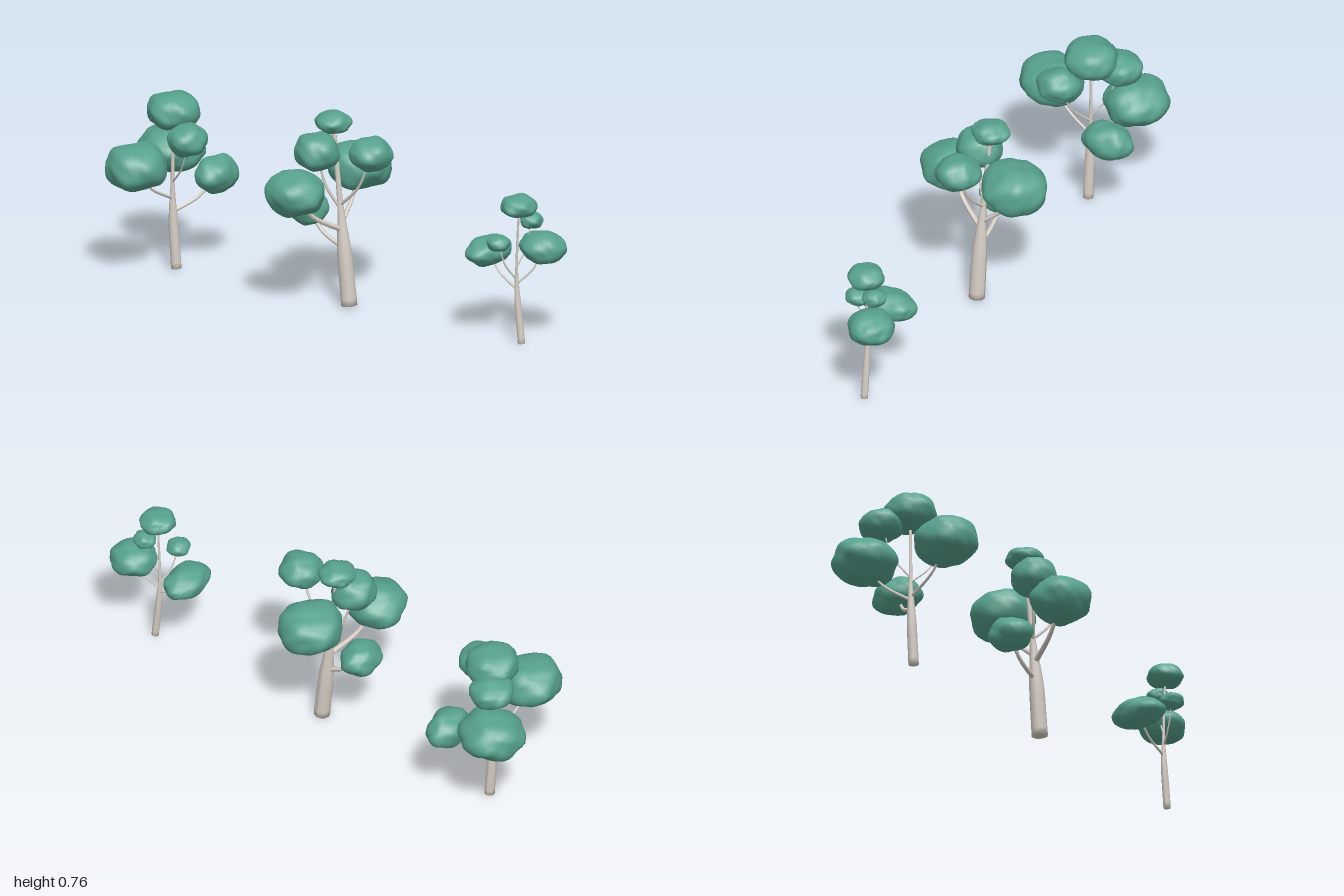
import * as THREE from 'three';
import { mergeVertices } from 'three/addons/utils/BufferGeometryUtils.js';

const leafMat = new THREE.MeshStandardMaterial({ color: 0x57a18d });
leafMat.name = 'leafGreen';
const barkMat = new THREE.MeshStandardMaterial({ color: 0xd3ccc3 });
barkMat.name = 'paleBark';

const vec = (p) => new THREE.Vector3(...p);

// Tapered limb along a curve; the first ring is collapsed to close the base
function limb(name, curve, radiusAt, rings, sides) {
  const geo = new THREE.TubeGeometry(curve, rings, 1, sides);
  const pos = geo.attributes.position;
  const v = new THREE.Vector3();
  for (let i = 0; i <= rings; i++) {
    const centre = curve.getPointAt(i / rings);
    const t = Math.max(0, (i - 1) / (rings - 1));
    const target = curve.getPointAt(t);
    const r = i === 0 ? 0 : radiusAt(t);
    for (let j = 0; j <= sides; j++) {
      const k = i * (sides + 1) + j;
      v.fromBufferAttribute(pos, k).sub(centre).multiplyScalar(r).add(target);
      pos.setXYZ(k, v.x, v.y, v.z);
    }
  }
  geo.computeVertexNormals();
  const mesh = new THREE.Mesh(geo, barkMat);
  mesh.name = name;
  return mesh;
}

// Lumpy, flattened leaf cluster
function cluster(centre, size, seed) {
  let geo = new THREE.IcosahedronGeometry(1, 6);
  geo.deleteAttribute('normal');
  geo.deleteAttribute('uv');
  geo = mergeVertices(geo, 1e-4);
  const pos = geo.attributes.position;
  const v = new THREE.Vector3();
  for (let i = 0; i < pos.count; i++) {
    v.fromBufferAttribute(pos, i);
    const { x, y, z } = v;
    const lumps = Math.sin(4.3 * x + seed * 1.7 + 2 * z) * Math.sin(4.7 * y + seed * 2.3)
      + Math.sin(5.1 * z - seed * 1.1 + 1.5 * y) * Math.cos(4.1 * x + seed)
      + 0.5 * Math.sin(9 * x + seed) * Math.sin(8 * z + 7 * y - seed);
    v.multiplyScalar(1 + 0.05 * lumps);
    pos.setXYZ(i, v.x * size[0], v.y * size[1], v.z * size[2]);
  }
  geo.computeVertexNormals();
  const mesh = new THREE.Mesh(geo, leafMat);
  mesh.name = 'leafCluster';
  mesh.position.set(...centre);
  return mesh;
}

// Each crown is a list of leaf clusters [x, y, z, rx, ry, rz]; the first sits on the trunk top
function buildTree(name, radius, base, middle, crown) {
  const tree = new THREE.Group();
  tree.name = name;
  const top = vec(crown[0].slice(0, 3));
  const path = new THREE.CatmullRomCurve3([vec(base), vec(middle), top]);

  // Trunk: stout below, thinning quickly above the fork
  const trunkRadius = (t) => radius
    * (1 - 0.18 * t - 0.55 * THREE.MathUtils.smoothstep(t, 0.22, 0.6));
  tree.add(limb('trunk', path, trunkRadius, 28, 12));

  crown.forEach((c, i) => {
    const centre = c.slice(0, 3);
    const size = c.slice(3);
    tree.add(cluster(centre, size, radius * 500 + i * 1.9));
    if (i === 0) return;
    // Branch: leaves the trunk below its cluster, then bends up into it
    const end = vec(centre);
    const t = 0.62 * end.y / top.y;
    const start = path.getPointAt(t);
    const bend = start.clone().lerp(end, 0.62);
    bend.y = start.y + (end.y - start.y) * 0.4;
    const curve = new THREE.CatmullRomCurve3([start, bend, end]);
    const r = Math.min(trunkRadius(t) * 0.55, 0.1 * size[0] + 0.001);
    tree.add(limb('branch', curve, (s) => r * (1 - 0.45 * s), 12, 8));
  });
  return tree;
}

export function createModel() {
  const model = new THREE.Group();
  model.name = 'treeRow';

  model.add(buildTree('smallTree', 0.014, [0.02, 0.006, 0.85], [0.02, 0.24, 0.828], [
    [0.02, 0.55, 0.838, 0.072, 0.042, 0.07],
    [0.07, 0.485, 0.86, 0.045, 0.032, 0.045],
    [-0.046, 0.41, 0.79, 0.047, 0.031, 0.045],
    [0.084, 0.382, 0.906, 0.089, 0.061, 0.092],
    [0.033, 0.345, 0.69, 0.112, 0.054, 0.075],
  ]));

  model.add(buildTree('middleTree', 0.031, [0.025, 0.008, 0.05], [0.025, 0.27, 0.022], [
    [0.037, 0.717, -0.032, 0.074, 0.041, 0.07],
    [0.01, 0.633, 0.16, 0.087, 0.064, 0.085],
    [-0.03, 0.612, -0.06, 0.09, 0.073, 0.088],
    [0.16, 0.525, 0, 0.13, 0.092, 0.127],
    [-0.16, 0.477, -0.07, 0.115, 0.086, 0.117],
    [0.025, 0.36, -0.138, 0.09, 0.064, 0.074],
  ]));

  model.add(buildTree('broadTree', 0.02, [0.025, 0.006, -0.75], [0.025, 0.25, -0.766], [
    [0.03, 0.63, -0.765, 0.105, 0.069, 0.105],
    [0.115, 0.58, -0.83, 0.09, 0.055, 0.088],
    [-0.043, 0.55, -0.648, 0.085, 0.062, 0.075],
    [0.166, 0.427, -0.87, 0.124, 0.088, 0.13],
    [0.165, 0.362, -0.662, 0.103, 0.071, 0.074],
    [-0.165, 0.448, -0.8, 0.126, 0.088, 0.12],
  ]));
  return model;
}
